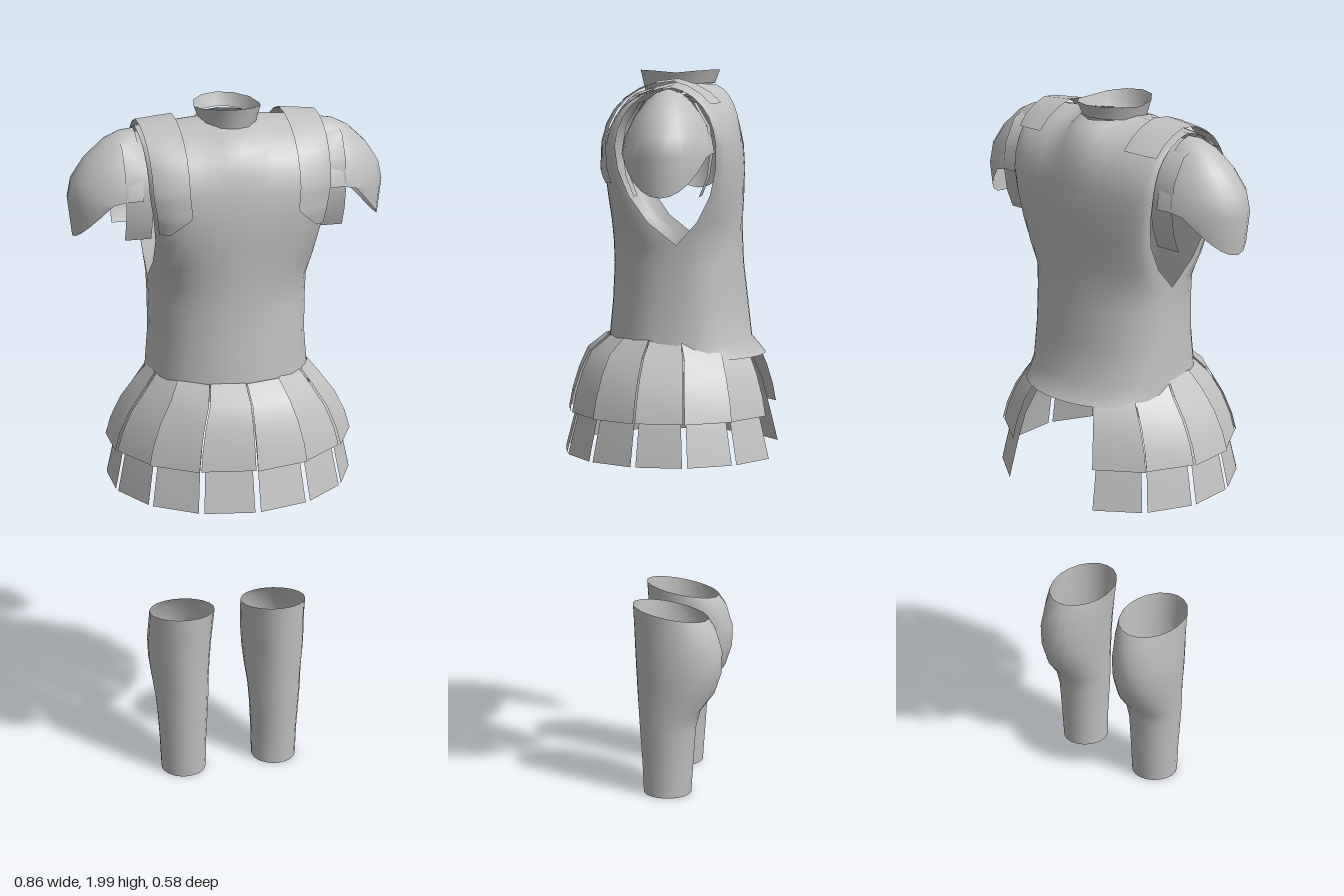
import * as THREE from 'three';
import { mergeGeometries, mergeVertices } from 'three/addons/utils/BufferGeometryUtils.js';

const steel = new THREE.MeshStandardMaterial({ color: 0xc0c0c0, side: THREE.DoubleSide });
steel.name = 'plain grey';

// Surface through fn(u, v) at every pair of the listed parameters
function surface(us, vs, fn) {
  const pos = [], idx = [], n = us.length;
  for (const v of vs) for (const u of us) pos.push(...fn(u, v));
  for (let j = 0; j < vs.length - 1; j++) {
    for (let i = 0; i < n - 1; i++) {
      const a = j * n + i, b = a + n;
      idx.push(a, a + 1, b + 1, a, b + 1, b);
    }
  }
  const g = new THREE.BufferGeometry();
  g.setAttribute('position', new THREE.Float32BufferAttribute(pos, 3));
  g.setIndex(idx);
  return g;
}
const steps = (a, b, n) => Array.from({ length: n + 1 }, (_, i) => a + (b - a) * i / n);
const lerp = THREE.MathUtils.lerp;

// Interpolates a table of rows at a fractional row number
function rowAt(rows, v) {
  const i = Math.min(Math.floor(v), rows.length - 2);
  return rows[i].map((a, k) => lerp(a, rows[i + 1][k], v - i));
}

function add(parent, name, geo, weld = true) {
  const g = weld ? mergeVertices(geo, 1e-4) : geo;
  g.computeVertexNormals();
  const m = new THREE.Mesh(g, steel);
  m.name = name;
  parent.add(m);
  return m;
}

// Torso rows: y, half width, front z, back z, side edge z front, side edge z back
const TORSO = [
  [1.235, 0.225, 0.18, -0.25, -0.03, -0.03],
  [1.28, 0.22, 0.18, -0.212, -0.03, -0.03],
  [1.38, 0.212, 0.17, -0.2, -0.03, -0.03],
  [1.48, 0.213, 0.165, -0.188, -0.03, -0.03],
  [1.54, 0.215, 0.167, -0.185, -0.03, -0.03],
  [1.6, 0.216, 0.17, -0.183, 0.045, -0.085],
  [1.67, 0.22, 0.177, -0.185, 0.095, -0.12],
  [1.74, 0.23, 0.182, -0.185, 0.122, -0.135],
  [1.8, 0.24, 0.176, -0.18, 0.128, -0.137],
];
const LAST = TORSO.length - 1;
const NECK_T = Math.sin(Math.PI / 9);

// Point on the front (side = 1) or back (side = -1) of the torso
function torsoPoint(side, phi, v) {
  const [y, w, zf, zb, ef, eb] = rowAt(TORSO, Math.min(v, LAST));
  const t = Math.sin(phi), c = Math.max(0, Math.cos(phi));
  const edge = side > 0 ? ef : eb, mid = side > 0 ? zf : zb;
  const A = [w * t, y, edge + (mid - edge) * Math.pow(c, 0.8)];
  if (v <= LAST) return A;
  // Above the chest, bend over to the neckline and shoulder seam
  const s = v - LAST, k = Math.abs(t);
  let C;
  if (k < NECK_T - 1e-6) {
    const a = t / NECK_T * Math.PI / 2;
    C = [0.076 * Math.sin(a), 1.965 - (side > 0 ? 0.018 : 0.005) * Math.cos(a), -0.015 + side * 0.097 * Math.cos(a)];
  } else {
    const f = (k - NECK_T) / (1 - NECK_T);
    C = [Math.sign(t) * lerp(0.076, 0.247, f), lerp(1.965, 1.95, f), -0.015];
  }
  const B = [(A[0] + C[0]) / 2, lerp(A[1], C[1], 0.85), lerp(A[2], C[2], 0.1)];
  return A.map((a, i) => (1 - s) ** 2 * a + 2 * s * (1 - s) * B[i] + s * s * C[i]);
}

// Skirt profiles: y, x radius, z radius
const UPPER = [[1.288, 0.215, 0.185], [1.245, 0.25, 0.24], [1.19, 0.292, 0.265], [1.13, 0.322, 0.284], [1.08, 0.337, 0.294]];
const LOWER = [[1.24, 0.235, 0.215], [1.15, 0.29, 0.258], [1.07, 0.318, 0.28], [0.965, 0.341, 0.308]];

// Greave rows: y, inner x, outer x, front z, back z
const GREAVE = [
  [0.012, 0.073, 0.205, 0.07, -0.064],
  [0.1, 0.071, 0.208, 0.074, -0.07],
  [0.2, 0.066, 0.214, 0.081, -0.077],
  [0.25, 0.063, 0.218, 0.084, -0.09],
  [0.3, 0.059, 0.223, 0.087, -0.128],
  [0.36, 0.054, 0.23, 0.09, -0.148],
  [0.42, 0.05, 0.232, 0.093, -0.15],
  [0.48, 0.046, 0.23, 0.096, -0.132],
  [0.53, 0.043, 0.23, 0.1, -0.11],
];

// Shoulder dome profile (spread, y) and arm band profile (z, y)
const DOME = [[0, 1.945], [0.25, 1.936], [0.46, 1.917], [0.74, 1.872], [0.94, 1.82], [1, 1.77]];
const BAND = [[0.07, 1.67], [0.09, 1.72], [0.1, 1.79], [0.09, 1.85], [0.055, 1.91], [-0.015, 1.935],
  [-0.085, 1.91], [-0.12, 1.85], [-0.13, 1.79], [-0.12, 1.72], [-0.1, 1.67]];

export function createModel() {
  const model = new THREE.Group();
  model.name = 'armour';

  // Breastplate, front and back welded at sides and shoulders
  const phis = steps(-Math.PI / 2, Math.PI / 2, 18);
  const levels = [...steps(0, LAST, LAST), ...steps(LAST, LAST + 1, 6).slice(1)];
  const halves = [1, -1].map(s => surface(phis, levels, (p, v) => torsoPoint(s, p * s, v)));
  add(model, 'torso', mergeGeometries(halves));

  // Flared collar
  add(model, 'collar', surface(steps(0, Math.PI * 2, 12), [0, 1], (a, v) => [
    Math.sin(a) * lerp(0.075, 0.088, v),
    lerp(1.955 - 0.01 * Math.cos(a), 1.99 + 0.01 * Math.abs(Math.cos(a)), v),
    -0.013 + Math.cos(a) * lerp(0.095, 0.108, v)]));

  // Thin strap across the inside of the waist
  const strap = new THREE.Mesh(new THREE.BoxGeometry(0.4, 0.006, 0.065), steel);
  strap.name = 'waistStrap';
  strap.position.set(0, 1.2, -0.02);
  model.add(strap);

  // Two layers of skirt plates, open at the back
  const count = 14, pitch = Math.PI * 2 / count;
  for (const [name, rows, fill] of [['upperSkirtPlate', UPPER, 0.98], ['lowerSkirtPlate', LOWER, 0.9]]) {
    for (let i = 1; i < count - 1; i++) {
      const mid = (i + 0.5) * pitch + Math.PI, half = pitch * fill / 2;
      const lift = name === 'upperSkirtPlate' ? (i % 2) * 0.005 : 0;
      add(model, name, surface([mid - half, mid + half], steps(0, rows.length - 1, rows.length - 1), (a, v) => {
        const [y, rx, rz] = rows[v];
        return [Math.sin(a) * (rx + lift), y, Math.cos(a) * (rz + lift)];
      }), false);
    }
  }

  for (const s of [1, -1]) {
    const side = new THREE.Group();
    side.name = s > 0 ? 'leftSide' : 'rightSide';
    model.add(side);

    // Strap over the shoulder, just proud of the torso
    add(side, 'shoulderStrap', surface(steps(0, 1, 4), steps(0, 1, 18), (u, v) => {
      const d = lerp(6.5, 2 * (LAST + 1) - (LAST + 0.45), v);
      const front = d <= LAST + 1;
      const inner = 0.6 + 0.26 * Math.max(0, 1 - v * 5);
      const p = torsoPoint(front ? 1 : -1, s * Math.asin(lerp(inner, 0.97, u)), front ? d : 2 * (LAST + 1) - d);
      return [p[0] * 1.01, 1.75 + (p[1] - 1.75) * 1.08, -0.015 + (p[2] + 0.015) * 1.06];
    }));

    // Domed shoulder guard with a pointed lower edge
    add(side, 'shoulderGuard', surface(steps(-Math.PI / 2, Math.PI / 2, 14), steps(0, DOME.length, DOME.length), (a, v) => {
      const c = Math.cos(a);
      const hem = 1.67 + 0.11 * Math.min(1, (1 - c) / 0.62);
      const [r, y] = v < DOME.length ? DOME[v] : [lerp(0.94, 1, (hem - 1.67) / 0.11), hem];
      return [s * (0.25 + 0.178 * c * r), Math.max(y, hem), -0.015 + 0.12 * Math.sin(a) * r];
    }));

    // Band around the upper arm, under the guard
    add(side, 'armBand', surface([0.225, 0.295], steps(0, BAND.length - 1, BAND.length - 1),
      (x, v) => [s * x, BAND[v][1], BAND[v][0]]));

    // Shin guard with a full calf and a sloping top
    add(side, 'greave', surface(steps(0, Math.PI * 2, 20), steps(0, GREAVE.length - 1, GREAVE.length - 1), (a, v) => {
      const [y, x0, x1, zf, zb] = GREAVE[v];
      const top = v === GREAVE.length - 1 ? 0.02 * Math.cos(a) : 0;
      return [s * ((x0 + x1) / 2 + Math.sin(a) * (x1 - x0) / 2), y + top, (zf + zb) / 2 + Math.cos(a) * (zf - zb) / 2];
    }));
  }
  return model;
}
